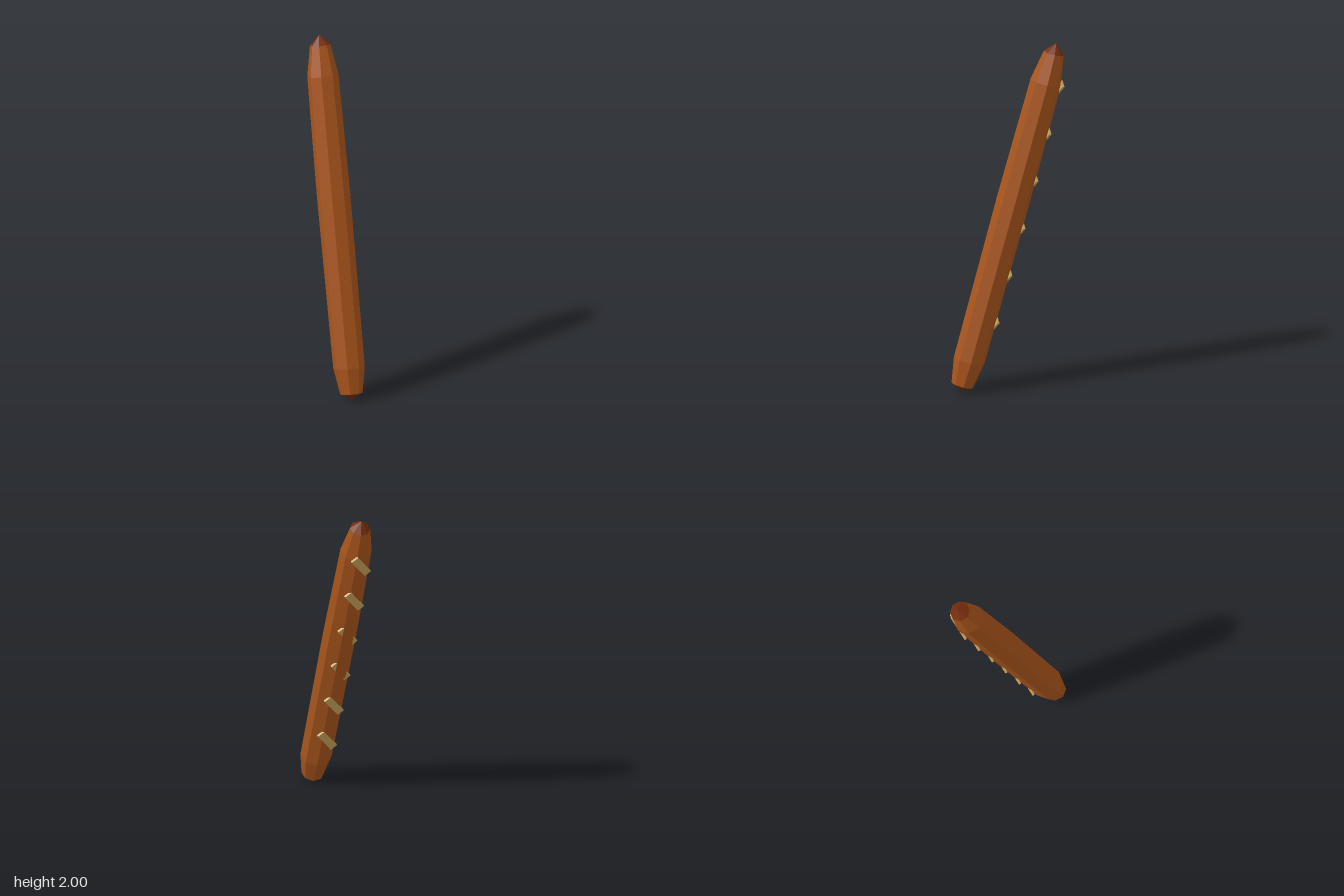
import * as THREE from 'three';

const wood = new THREE.MeshStandardMaterial({ color: 0xa8541b, flatShading: true });
wood.name = 'brown wood';
const darkWood = new THREE.MeshStandardMaterial({ color: 0x762d0d, flatShading: true });
darkWood.name = 'dark wood';
const straw = new THREE.MeshStandardMaterial({ color: 0xc8a35a, flatShading: true });
straw.name = 'straw';

// Eight-sided bar from [distance to flat, height] pairs, flats facing the axes
function octagonBar(name, profile, material) {
  const points = profile.map(([flat, y]) => new THREE.Vector2(flat / Math.cos(Math.PI / 8), y));
  const mesh = new THREE.Mesh(new THREE.LatheGeometry(points, 8, Math.PI / 8), material);
  mesh.name = name;
  return mesh;
}

export function createModel() {
  const model = new THREE.Group();
  model.name = 'leaningPole';

  // Everything is built along the pole's own axis, then leaned back
  const pole = new THREE.Group();
  pole.name = 'pole';
  pole.position.set(0, 0.033, 0.29);
  pole.rotation.x = -THREE.MathUtils.degToRad(17);
  model.add(pole);

  // Slightly bulging shaft with tapered ends
  pole.add(octagonBar('shaft', [
    [0.059, 0], [0.083, 0.15], [0.0883, 1.13], [0.0825, 1.825], [0.054, 2.0],
  ], wood));

  // Pointed end caps
  pole.add(octagonBar('topCap', [[0.054, 2.0], [0, 2.058]], darkWood));
  pole.add(octagonBar('bottomCap', [[0, -0.034], [0.059, 0]], darkWood));

  // Slanted slats sunk flush into the back, their ends standing clear of the side flats
  const slatGeometry = new THREE.BoxGeometry(0.045, 0.175, 0.013);
  for (let i = 0; i < 6; i++) {
    const slat = new THREE.Mesh(slatGeometry, straw);
    slat.name = 'slat' + (i + 1);
    slat.position.set(0, 0.347 + i * 0.2846, -0.0803);
    slat.rotation.z = -THREE.MathUtils.degToRad(36);
    pole.add(slat);
  }
  return model;
}
